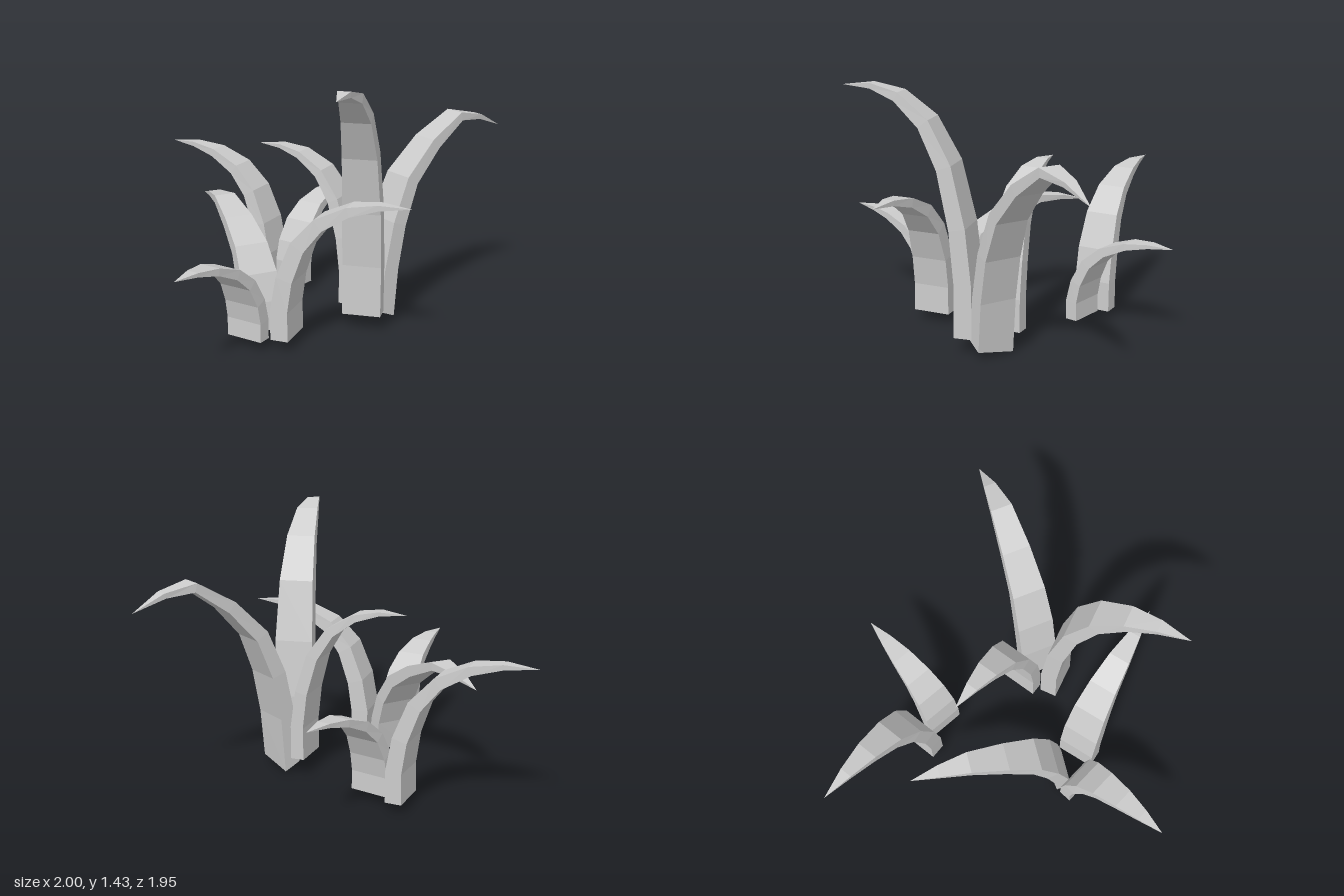
import * as THREE from 'three';

const HALF_WIDTH = 0.1075;

// Outer edge of a blade, as fractions of its reach and tip height
const ARCHED = [[0, 0], [0, 0.22], [0.045, 0.46], [0.15, 0.71], [0.32, 0.885], [0.55, 0.985], [0.77, 1.014], [1, 1]];
const DROOPING = [[0, 0], [0.03, 0.28], [0.09, 0.55], [0.2, 0.8], [0.4, 0.995], [0.63, 1.127], [0.82, 1.09], [1, 1]];

// Taper of width and thickness from foot to tip
const WIDTHS = [1, 1, 0.98, 0.88, 0.74, 0.56, 0.32];
const DEPTHS = [1, 0.97, 0.92, 0.85, 0.72, 0.52, 0.3];

// Tapering four-sided blade with an open foot, arching from the origin towards +z
function bladeGeometry(reach, height, { profile = ARCHED, depth = 0.1, drop = 0, roll = 0 }) {
  const path = profile.map(([u, v]) => new THREE.Vector2(u * reach, v * height));
  const last = path.length - 1;
  const pos = [], index = [];
  for (let i = 0; i < last; i++) {
    const { x: z, y } = path[i];
    // The inner side is offset square to the path
    const t = path[i + 1].clone().sub(path[Math.max(i - 1, 0)]).normalize();
    const w = HALF_WIDTH * WIDTHS[i], d = depth * DEPTHS[i];
    // Only the foot is cut at a slant
    const slant = i === 0 ? roll * w : 0;
    const iy = y - t.x * d - (i === 0 ? drop : 0), iz = z + t.y * d;
    pos.push(-w, y - slant, z, w, y + slant, z, w, iy + slant, iz, -w, iy - slant, iz);
  }
  pos.push(0, path[last].y, path[last].x);
  for (let i = 0; i < last; i++) {
    for (let k = 0; k < 4; k++) {
      const a = i * 4 + k, b = i * 4 + (k + 1) % 4;
      if (i === last - 1) index.push(a, last * 4, b);
      else index.push(a, a + 4, b + 4, a, b + 4, b);
    }
  }
  const g = new THREE.BufferGeometry();
  g.setAttribute('position', new THREE.Float32BufferAttribute(pos, 3));
  g.setIndex(index);
  g.computeVertexNormals();
  return g;
}

// Clumps of blades: foot is the middle of the outer lower edge
const CLUMPS = {
  rightClump: [
    { foot: [0.245, 0.1, -0.08], tip: [-0.35, 0.95, -0.265], depth: 0.075 },
    { foot: [0.315, 0.065, -0.012], tip: [1, 1.02, -0.625], profile: DROOPING, depth: 0.093, drop: 0.03, roll: -0.17 },
    { foot: [0.294, 0.09, 0.045], tip: [0.22, 1.412, 0.785] },
  ],
  leftClump: [
    { foot: [-0.215, 0.048, 0.335], tip: [-0.72, 0.6, -0.41], profile: DROOPING, depth: 0.085, drop: 0.025, roll: -0.08 },
    { foot: [-0.138, 0.06, 0.365], tip: [0.57, 0.832, 0.53] },
    { foot: [-0.275, 0.055, 0.395], tip: [-0.53, 0.556, 0.97], depth: 0.075 },
  ],
  backClump: [
    { foot: [-0.3, 0.05, -0.51], tip: [-1, 0.828, -0.755], depth: 0.09 },
    { foot: [-0.21, 0.05, -0.435], tip: [0.09, 0.558, -0.978], depth: 0.072 },
  ],
};

export function createModel() {
  const model = new THREE.Group();
  model.name = 'grassTuft';
  const material = new THREE.MeshStandardMaterial({
    color: 0xcccccc, flatShading: true, side: THREE.DoubleSide,
  });
  for (const [name, blades] of Object.entries(CLUMPS)) {
    const clump = new THREE.Group();
    clump.name = name;
    blades.forEach(({ foot, tip, ...shape }, i) => {
      const [dx, dy, dz] = tip.map((v, k) => v - foot[k]);
      const blade = new THREE.Mesh(bladeGeometry(Math.hypot(dx, dz), dy, shape), material);
      blade.name = `blade${i + 1}`;
      blade.position.set(...foot);
      blade.rotation.y = Math.atan2(dx, dz);
      clump.add(blade);
    });
    model.add(clump);
  }
  return model;
}
